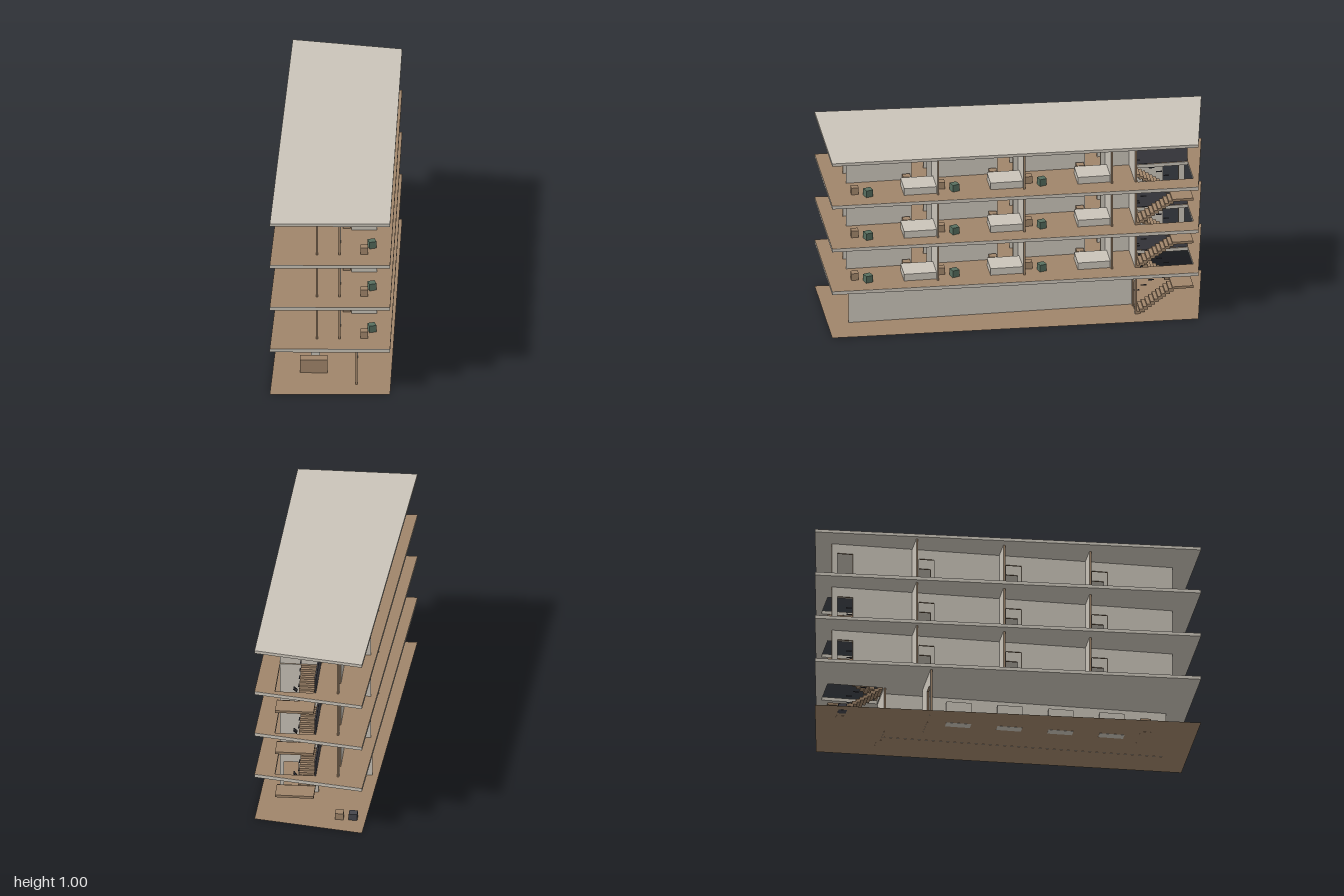
import * as THREE from 'three';

const mat = (name, color, side = THREE.FrontSide) => {
  const m = new THREE.MeshStandardMaterial({ color, side });
  m.name = name;
  return m;
};

export function createModel() {
  const model = new THREE.Group();
  model.name = 'sectionBuilding';
  const plaster = mat('plaster', 0xcac4b9);
  const wood = mat('wood', 0xa0856a);
  const floorWood = wood;
  const green = mat('greenFabric', 0x587060);
  const dark = mat('darkMetal', 0x45454c);

  const add = (parent, name, geo, material) => {
    const mesh = new THREE.Mesh(geo, material);
    mesh.name = name;
    parent.add(mesh);
    return mesh;
  };
  // Box from its limits along each axis
  const box = (parent, name, material, x0, x1, y0, y1, z0, z1) => {
    const m = add(parent, name, new THREE.BoxGeometry(x1 - x0, y1 - y0, z1 - z0), material);
    m.position.set((x0 + x1) / 2, (y0 + y1) / 2, (z0 + z1) / 2);
    return m;
  };

  // Wall with door notches; plaster faces and wooden edges.
  const T = 0.01, DOOR = 0.175;
  const wallGeo = (u0, u1, h, doors) => {
    const s = new THREE.Shape();
    s.moveTo(u0, 0);
    for (const [a, b] of doors) {
      s.lineTo(a, 0); s.lineTo(a, DOOR); s.lineTo(b, DOOR); s.lineTo(b, 0);
    }
    s.lineTo(u1, 0); s.lineTo(u1, h); s.lineTo(u0, h);
    return new THREE.ExtrudeGeometry(s, { depth: T, bevelEnabled: false });
  };
  const wallX = (parent, name, z, x0, x1, y, h, doors = []) => {
    const g = wallGeo(x0, x1, h, doors).translate(0, y, z - T / 2);
    add(parent, name, g, [plaster, wood]);
  };
  const wallZ = (parent, name, x, z0, z1, y, h, doors = []) => {
    const flipped = doors.map(([a, b]) => [-b, -a]).sort((p, q) => p[0] - q[0]);
    const g = wallGeo(-z1, -z0, h, flipped).rotateY(Math.PI / 2).translate(x - T / 2, y, 0);
    add(parent, name, g, [plaster, wood]);
  };

  // Slanted floor outline, with an optional stair opening
  const outline = (hole) => {
    const s = new THREE.Shape([[-0.34, -1], [0.28, -1], [0.335, 0.9], [-0.23, 1]]
      .map(([x, y]) => new THREE.Vector2(x, y)));
    if (hole) {
      s.holes.push(new THREE.Path([[0.03, 0.6], [0.03, 0.89], [0.23, 0.89], [0.23, 0.6]]
        .map(([x, y]) => new THREE.Vector2(x, y))));
    }
    return s;
  };
  const slab = (name, top, thick, hole, material) => add(model, name,
    new THREE.ExtrudeGeometry(outline(hole), { depth: thick, bevelEnabled: false })
      .rotateX(-Math.PI / 2).translate(0, top - thick, 0), material);

  // Two flights, half landing and short handrail bars
  const stairs = (y, rise) => {
    const g = new THREE.Group();
    g.name = 'staircase';
    model.add(g);
    const n = 10, run = 0.19 / n, h = rise / 2 / n;
    for (let i = 0; i < n; i++) {
      const zLow = -0.59 - i * run, zHigh = -0.78 + i * run;
      const yLow = y + (i + 1) * h, yHigh = y + rise / 2 + (i + 1) * h;
      box(g, 'lowerStep', wood, 0.14, 0.23, Math.max(y, yLow - h * 1.3), yLow, zLow - run * 1.3, zLow);
      box(g, 'upperStep', wood, 0.03, 0.12, yHigh - h * 1.3, yHigh, zHigh, zHigh + run * 1.3);
      if (i % 2 === 0) {
        box(g, 'lowerRailBar', dark, 0.14, 0.146, yLow + 0.08, yLow + 0.084, zLow - 0.03, zLow);
        box(g, 'upperRailBar', dark, 0.114, 0.12, yHigh + 0.08, yHigh + 0.084, zHigh, zHigh + 0.03);
      }
    }
    box(g, 'landing', wood, 0.03, 0.23, y + rise / 2 - 0.004, y + rise / 2 + 0.009, -0.89, -0.78);
  };

  // Ground sheet
  const ground = mat('groundWood', 0xa0856a, THREE.DoubleSide);
  add(model, 'groundFloor', new THREE.ShapeGeometry(outline(false))
    .rotateX(-Math.PI / 2).translate(0, 0.001, 0), ground);

  // Ground storey: walls, reception desk, shelves, small seats
  const storey = new THREE.Group();
  storey.name = 'groundStorey';
  model.add(storey);
  wallZ(storey, 'longGroundWall', 0.107, -0.59, 0.89, 0, 0.248);
  wallX(storey, 'lobbyWall', -0.39, -0.23, 0.02, 0, 0.248, [[-0.195, -0.115]]);
  wallX(storey, 'stairWall', -0.59, 0.03, 0.23, 0, 0.248, [[0.135, 0.21]]);
  box(storey, 'desk', wood, -0.185, -0.043, 0, 0.076, 0.71, 0.765);
  for (let i = 0; i < 4; i++) {
    const z = 0.57 - i * 0.267;
    box(storey, 'shelf', plaster, -0.13, -0.082, 0, 0.12, z - 0.065, z + 0.065);
  }
  box(storey, 'woodSeat', wood, -0.122, -0.078, 0, 0.036, -0.87, -0.826);
  box(storey, 'darkSeat', dark, -0.194, -0.15, 0, 0.036, -0.87, -0.826);

  // Upper storeys
  const tops = [0.267, 0.512, 0.758], H = 0.2265;
  const rooms = [0.44, -0.01, -0.465];
  const leftX = -0.097, rightX = 0.02;
  tops.forEach((y, f) => {
    slab('floorSlab', y - 0.001, 0.018, true, plaster);
    add(model, 'floorBoards', new THREE.ShapeGeometry(outline(true))
      .rotateX(-Math.PI / 2).translate(0, y, 0), floorWood);
    stairs(f === 0 ? 0 : tops[f - 1], y - (f === 0 ? 0 : tops[f - 1]));

    const g = new THREE.Group();
    g.name = 'upperStorey';
    g.position.y = y;
    model.add(g);
    const doors = rooms.map((z) => [z + 0.03, z + 0.11]);
    wallZ(g, 'leftCorridorWall', leftX, -0.89, 0.89, 0, H, [...doors, [-0.86, -0.78]]);
    wallZ(g, 'rightCorridorWall', rightX, -0.59, 0.89, 0, H, doors);
    wallX(g, 'stairPartition', -0.59, rightX + 0.005, 0.23, 0, H);
    box(g, 'stairRailing', dark, 0.018, 0.026, 0, 0.085, -0.89, -0.595);
    for (const z of rooms) {
      wallX(g, 'rightPartition', z, rightX + 0.005, 0.23, 0, H);
      wallX(g, 'leftPartition', z, -0.23, leftX - 0.005, 0, H);
      // Furniture of each room
      box(g, 'bed', plaster, 0.08, 0.21, 0, 0.038, z + 0.006, z + 0.175);
      box(g, 'nightstand', wood, 0.037, 0.075, 0, 0.038, z + 0.12, z + 0.16);
      box(g, 'table', wood, 0.128, 0.165, 0, 0.038, z + 0.405, z + 0.443);
      const chair = box(g, 'armchair', green, 0.167, 0.205, 0, 0.038, z + 0.34, z + 0.378);
      chair.rotation.y = 0.3;
    }
  });

  // Roof
  slab('roof', 1, 0.016, false, plaster);
  return model;
}
